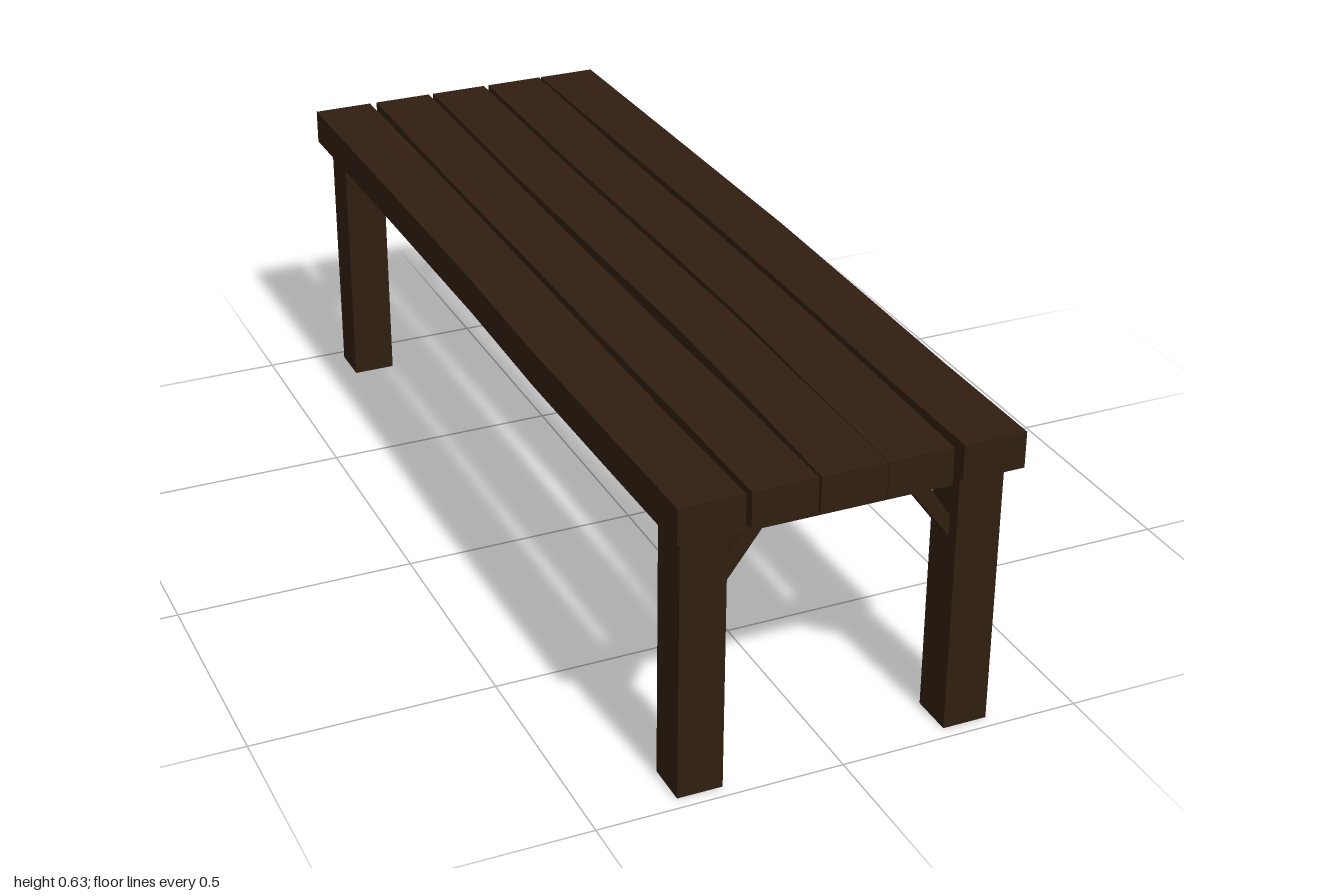
import * as THREE from 'three';

const TOP = 0.63, UNDER = 0.556, LEG_X = 0.278, LEG_Z = 0.926, LEG_W = 0.092;
const OFFSET_X = -0.003; // the frame sits slightly off the centre of the top

const wood = new THREE.MeshStandardMaterial({ color: 0x301e10, flatShading: true });

function createModel() {
  const model = new THREE.Group();
  const add = (parent, name, geometry, x = 0, y = 0, z = 0) => {
    const mesh = new THREE.Mesh(geometry, wood);
    mesh.name = name;
    mesh.position.set(x, y, z);
    parent.add(mesh);
    return mesh;
  };

  // Five slightly crooked planks: left and right edge at each station along z
  const stations = [-1, -0.5, 0, 0.35, 0.7, 1];
  const planks = [
    [[-0.352, -0.222], [-0.348, -0.218], [-0.346, -0.218], [-0.351, -0.220], [-0.348, -0.219], [-0.345, -0.214]],
    [[-0.206, -0.077], [-0.209, -0.079], [-0.206, -0.079], [-0.207, -0.079], [-0.203, -0.073], [-0.203, -0.073]],
    [[-0.066, 0.062], [-0.068, 0.060], [-0.062, 0.065], [-0.056, 0.070], [-0.060, 0.066], [-0.068, 0.064]],
    [[0.074, 0.203], [0.071, 0.201], [0.077, 0.207], [0.079, 0.208], [0.069, 0.203], [0.065, 0.197]],
    [[0.208, 0.337], [0.215, 0.345], [0.221, 0.352], [0.220, 0.349], [0.216, 0.345], [0.218, 0.346]],
  ];
  for (const edges of planks) {
    const outline = [
      ...edges.map((e, i) => new THREE.Vector2(e[1], stations[i])),
      ...edges.map((e, i) => new THREE.Vector2(e[0], stations[i])).reverse(),
    ];
    const geometry = new THREE.ExtrudeGeometry(new THREE.Shape(outline), { depth: TOP - UNDER, bevelEnabled: false });
    geometry.rotateX(Math.PI / 2); // outline lies flat, thickness goes down
    add(model, 'plank', geometry, 0, TOP, 0);
  }

  // Diagonal brace between a leg and the crossbar
  const inner = LEG_X - LEG_W / 2;
  const braceGeometry = (side) => {
    const shape = new THREE.Shape([
      [inner, 0.41], [inner, 0.455], [0.187, 0.522], [0.149, 0.522],
    ].map(([x, y]) => new THREE.Vector2(side * x, y)));
    return new THREE.ExtrudeGeometry(shape, { depth: 0.04, bevelEnabled: false }).translate(0, 0, -0.02);
  };

  // One frame at each end: two legs, a crossbar and two braces
  for (const end of [1, -1]) {
    const frame = new THREE.Group();
    frame.name = end > 0 ? 'frontFrame' : 'backFrame';
    frame.position.set(OFFSET_X, 0, end * LEG_Z);
    model.add(frame);
    add(frame, 'crossbar', new THREE.BoxGeometry(2 * inner, UNDER - 0.52, 0.046), 0, (UNDER + 0.52) / 2, 0);
    for (const side of [1, -1]) {
      add(frame, side > 0 ? 'leftLeg' : 'rightLeg', new THREE.BoxGeometry(LEG_W, UNDER, LEG_W), side * LEG_X, UNDER / 2, 0);
      add(frame, side > 0 ? 'leftBrace' : 'rightBrace', braceGeometry(side));
    }
  }
  return model;
}

export { createModel };
